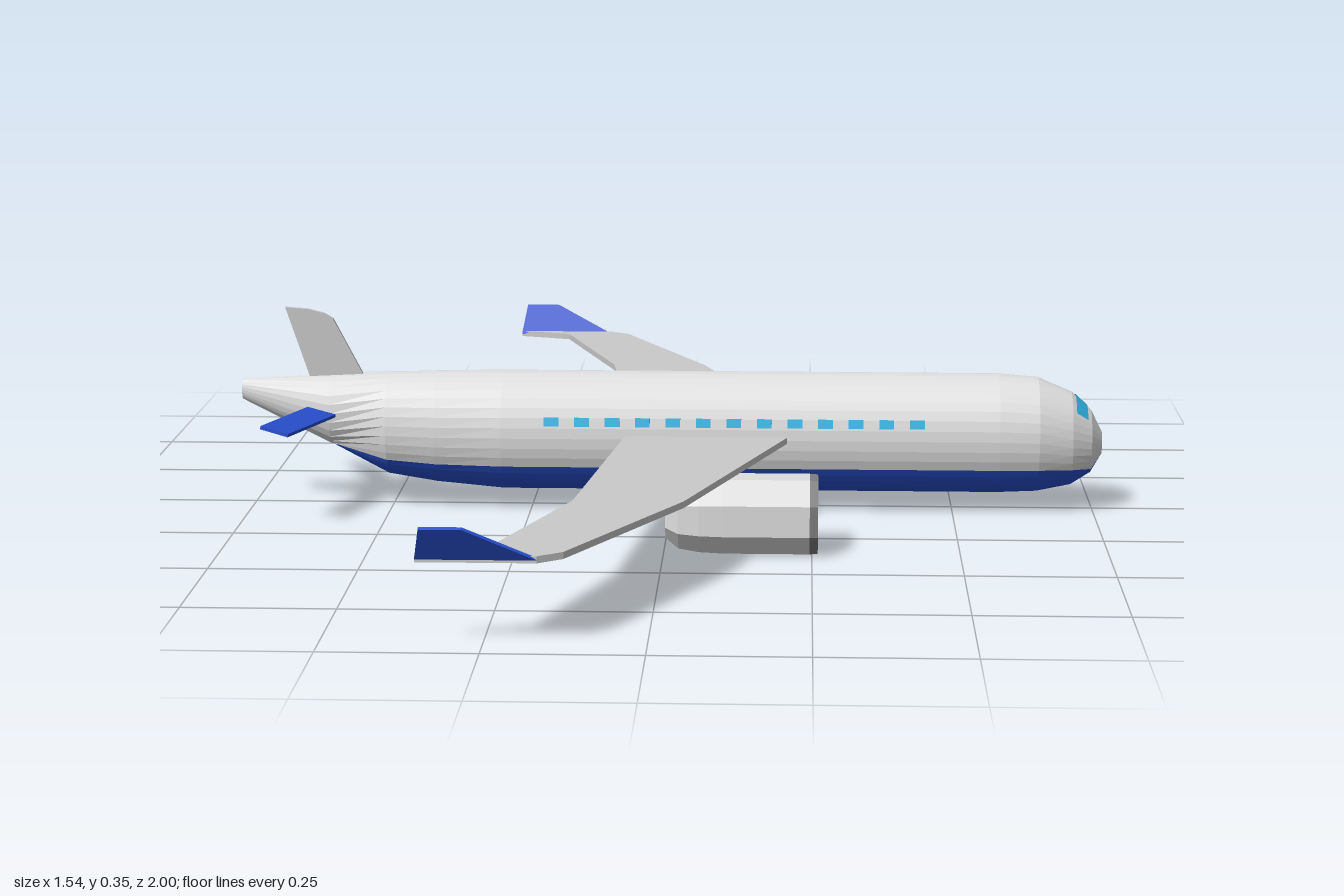
import * as THREE from 'three';
import { ConvexGeometry } from 'three/addons/geometries/ConvexGeometry.js';

const paint = (name, color) => Object.assign(new THREE.MeshStandardMaterial({ color }), { name });

// Fuselage stations: x, bottom y, top y, half width, y of the paint line
const STATIONS = [
  [-0.771, 0.206, 0.206, 0, 0.206],
  [-0.77, 0.188, 0.225, 0.012, 0.188],
  [-0.61, 0.108, 0.233, 0.05, 0.108],
  [-0.507, 0.055, 0.238, 0.072, 0.09],
  [-0.42, 0.041, 0.241, 0.082, 0.085],
  [-0.3, 0.03, 0.243, 0.09, 0.084],
  [0.58, 0.03, 0.243, 0.09, 0.084],
  [0.65, 0.033, 0.237, 0.086, 0.084],
  [0.71, 0.045, 0.212, 0.066, 0.081],
  [0.745, 0.067, 0.18, 0.042, 0.077],
  [0.765, 0.1, 0.14, 0.012, 0.1],
  [0.766, 0.12, 0.12, 0, 0.12],
];

// Station interpolated at any x
function stationAt(x) {
  const i = STATIONS.findIndex((s) => s[0] >= x);
  const a = STATIONS[i - 1], b = STATIONS[i];
  const t = (x - a[0]) / (b[0] - a[0]);
  return a.map((v, k) => v + (b[k] - v) * t);
}

// Elliptical arc of a station between two angles
function arc([x, bottom, top, half], from, to, steps, grow = 0) {
  const points = [];
  for (let j = 0; j <= steps; j++) {
    const a = from + ((to - from) * j) / steps;
    points.push([x, (bottom + top) / 2 + ((top - bottom) / 2 + grow) * Math.sin(a), (half + grow) * Math.cos(a)]);
  }
  return points;
}

// Flat-faced geometry
function faceted(geometry) {
  const g = geometry.index ? geometry.toNonIndexed() : geometry;
  g.computeVertexNormals();
  return g;
}

// Skin over a row of arcs
function loft(rows) {
  const n = rows[0].length, index = [];
  for (let i = 0; i < rows.length - 1; i++) {
    for (let j = 0; j < n - 1; j++) {
      const a = i * n + j, b = a + n;
      index.push(a, b, b + 1, a, b + 1, a + 1);
    }
  }
  const g = new THREE.BufferGeometry();
  g.setAttribute('position', new THREE.Float32BufferAttribute(rows.flat(2), 3));
  g.setIndex(index);
  return faceted(g);
}

// Thin slab through flat corner points
function slab(corners, thickness) {
  const [a, b, c] = corners.map((p) => new THREE.Vector3(...p));
  const n = b.clone().sub(a).cross(c.clone().sub(a)).setLength(thickness / 2);
  return faceted(new ConvexGeometry(corners.flatMap((p) => {
    const v = new THREE.Vector3(...p);
    return [v.clone().add(n), v.clone().sub(n)];
  })));
}

function plate(points, depth) {
  const shape = new THREE.Shape(points.map(([x, y]) => new THREE.Vector2(x, y)));
  return new THREE.ExtrudeGeometry(shape, { depth, bevelEnabled: false });
}

export function createModel() {
  const model = new THREE.Group();
  model.name = 'airliner';
  const white = paint('bodyLightGrey', 0xdedede);
  const grey = paint('wingGrey', 0xcacaca);
  const blue = paint('blue', 0x2850d0);
  const cyan = paint('windowCyan', 0x30b4e4);
  const dark = paint('intakeGrey', 0x808080);
  cyan.side = THREE.DoubleSide;

  const add = (name, geometry, material, parent = model) => {
    const mesh = new THREE.Mesh(geometry, material);
    mesh.name = name;
    parent.add(mesh);
    return mesh;
  };

  // Fuselage, split along the paint line
  const splitAngle = ([, bottom, top, , line]) => (top === bottom ? -Math.PI / 2
    : Math.asin(Math.max(-1, (line - (bottom + top) / 2) / ((top - bottom) / 2))));
  add('upperFuselage', loft(STATIONS.map((s) => arc(s, splitAngle(s), Math.PI - splitAngle(s), 24))), white);
  add('bellyPaint', loft(STATIONS.map((s) => arc(s, Math.PI - splitAngle(s), 2 * Math.PI + splitAngle(s), 14))), blue);

  // Cockpit glass wrapped over the nose
  const glass = [0.717, 0.727, 0.738].map((x) => arc(stationAt(x), 0.75, Math.PI - 0.75, 10, 0.002));
  add('cockpitWindow', loft(glass), cyan);

  // Wings in one piece through the body
  const half = [[0.235, 0], [0.206, 0.09], [0.042, 0.593], [-0.127, 0.937], [-0.165, 0.966],
    [-0.35, 0.966], [-0.25, 0.932], [-0.137, 0.593], [-0.08, 0.09], [-0.07, 0]];
  const mirrored = half.slice(1, -1).reverse().map(([x, z]) => [x, -z]);
  const wing = plate([...half, ...mirrored], 0.011);
  wing.rotateX(Math.PI / 2);
  wing.translate(0, 0.143, 0);
  add('wings', wing, grey);

  // Engine shell and hollow intake, eight sided
  const turned = (profile) => {
    const g = new THREE.LatheGeometry(profile.map(([r, y]) => new THREE.Vector2(r, y)), 8, Math.PI / 8);
    return faceted(g.rotateZ(-Math.PI / 2));
  };
  const shell = turned([[0, 0.003], [0.043, 0.003], [0.061, 0.025], [0.067, 0.06], [0.069, 0.1], [0.069, 0.246]]);
  const intake = turned([[0.069, 0.246], [0.068, 0.26], [0.055, 0.26], [0.05, 0.17], [0, 0.17]]);

  for (const side of [1, -1]) {
    const label = side > 0 ? 'front' : 'rear';

    // Upturned wing tips
    add(`${label}Winglet`, slab([[-0.165, 0.138, 0.964 * side], [-0.275, 0.192, 0.997 * side],
      [-0.34, 0.192, 0.997 * side], [-0.35, 0.138, 0.964 * side]], 0.006), blue);

    const engine = new THREE.Group();
    engine.name = `${label}Engine`;
    engine.position.set(0, 0.064, 0.337 * side);
    add('engineShell', shell, white, engine);
    add('engineIntake', intake, dark, engine);
    model.add(engine);

    // Cabin windows
    for (let i = 0; i < 13; i++) {
      const w = add('cabinWindow', new THREE.BoxGeometry(0.026, 0.016, 0.004), cyan);
      w.position.set(-0.21 + i * 0.0537, 0.167, 0.0865 * side);
      w.rotation.x = -0.25 * side;
    }
  }

  // Tailplanes, one nearly level and one drooping
  add('frontTailplane', slab([[-0.59, 0.168, 0.03], [-0.655, 0.168, 0.226],
    [-0.705, 0.179, 0.212], [-0.645, 0.179, 0.03]], 0.006), blue);
  add('rearTailplane', slab([[-0.59, 0.172, -0.03], [-0.662, 0.155, -0.228],
    [-0.712, 0.165, -0.212], [-0.645, 0.182, -0.03]], 0.006), blue);

  // Tail fin
  const fin = plate([[-0.545, 0.22], [-0.605, 0.335], [-0.622, 0.345], [-0.65, 0.352], [-0.69, 0.355], [-0.645, 0.22]], 0.008);
  fin.translate(0, 0, -0.004);
  add('tailFin', fin, grey);

  return model;
}
